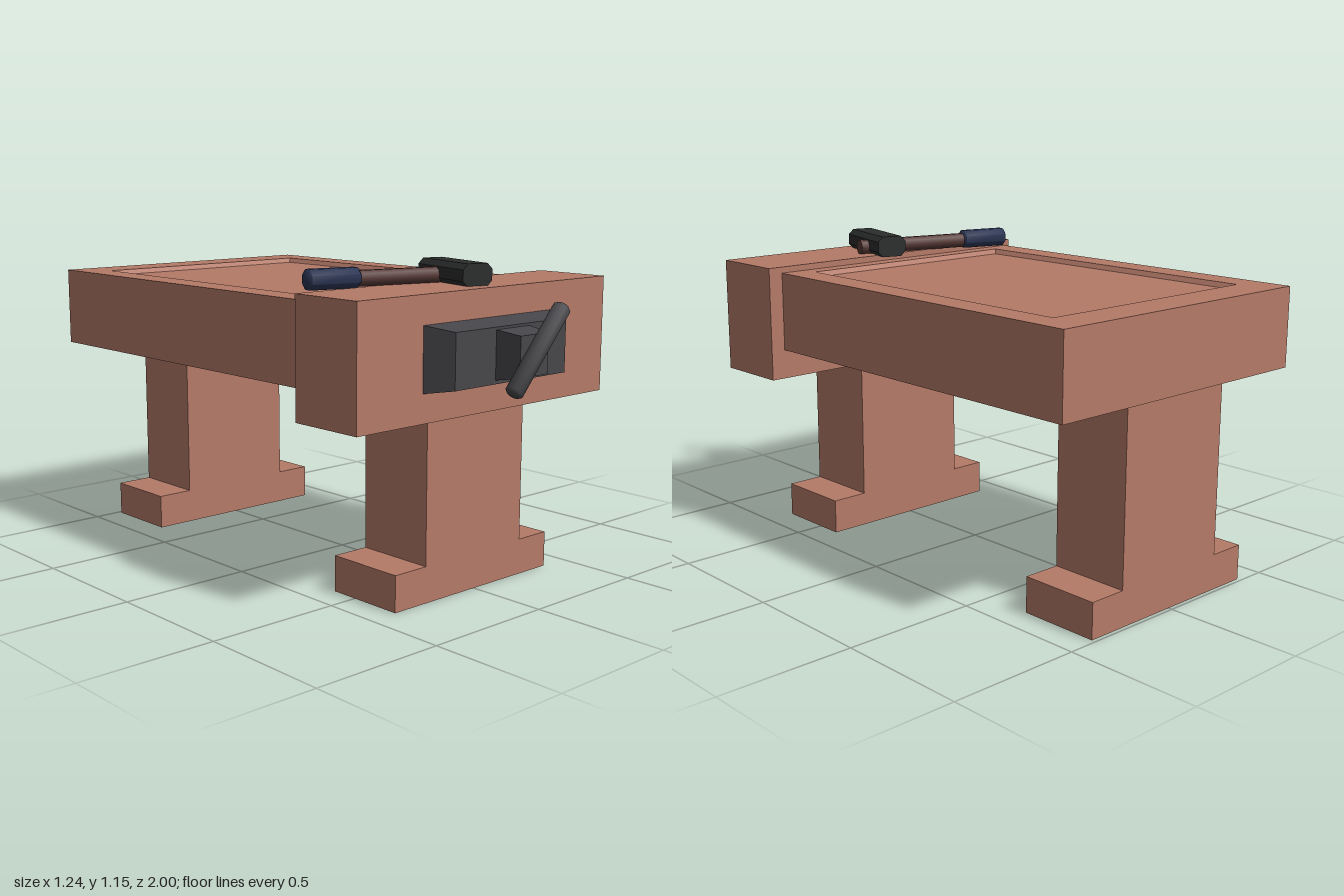
import * as THREE from 'three';
import { toCreasedNormals } from 'three/addons/utils/BufferGeometryUtils.js';

const material = (name, color) => {
  const m = new THREE.MeshStandardMaterial({ color });
  m.name = name;
  return m;
};

// Joins rectangular sections [x0, x1, z0, z1, y] into a closed solid
function loft(sections) {
  const positions = [];
  const rings = sections.map(([x0, x1, z0, z1, y]) =>
    [[x0, y, z1], [x1, y, z1], [x1, y, z0], [x0, y, z0]]);
  const quad = (a, b, c, d) => positions.push(...a, ...b, ...c, ...a, ...c, ...d);
  for (let s = 0; s + 1 < rings.length; s++) {
    const a = rings[s], b = rings[s + 1];
    for (let i = 0; i < 4; i++) {
      const j = (i + 1) % 4;
      quad(a[i], a[j], b[j], b[i]);
    }
  }
  const first = rings[0], last = rings[rings.length - 1];
  quad(first[3], first[2], first[1], first[0]);
  quad(last[0], last[1], last[2], last[3]);
  const geometry = new THREE.BufferGeometry();
  geometry.setAttribute('position', new THREE.Float32BufferAttribute(positions, 3));
  geometry.computeVertexNormals();
  return geometry;
}

// Lathed bar along y with slightly rounded ends
function roundedBar(radius, length, bevel, sides) {
  const h = length / 2;
  const profile = [[0, -h], [radius - bevel, -h], [radius, -h + bevel],
    [radius, h - bevel], [radius - bevel, h], [0, h]];
  const geometry = new THREE.LatheGeometry(profile.map(p => new THREE.Vector2(...p)), sides);
  return toCreasedNormals(geometry, 0.9);
}

export function createModel() {
  const model = new THREE.Group();
  model.name = 'workbench';
  const wood = material('bench wood', 0xb57a68);
  const iron = material('vise iron', 0x47474b);
  const steel = material('hammer head steel', 0x2b2c2c);
  const handleWood = material('handle wood', 0x573a37);
  const gripBlue = material('blue grip', 0x2c3655);

  const add = (parent, name, geometry, mat) => {
    const mesh = new THREE.Mesh(geometry, mat);
    mesh.name = name;
    parent.add(mesh);
    return mesh;
  };

  // Table top with a shallow sunken panel
  add(model, 'tableTop', loft([
    [-0.595, 0.56, -1, 0.47, 0.76],
    [-0.595, 0.56, -1, 0.47, 1.055],
    [-0.485, 0.45, -0.85, 0.4, 1.055],
    [-0.473, 0.438, -0.838, 0.388, 1.037],
  ]), wood);

  // Heavy block across the front
  add(model, 'frontBlock', loft([
    [-0.62, 0.617, 0.46, 0.757, 0.65],
    [-0.62, 0.617, 0.46, 0.757, 1.078],
  ]), wood);

  // Two legs, each an upside-down T
  const outline = [[-0.39, 0], [0.388, 0], [0.388, 0.132], [0.243, 0.132],
    [0.243, 0.765], [-0.245, 0.765], [-0.245, 0.132], [-0.39, 0.132]];
  const legShape = new THREE.Shape(outline.map(p => new THREE.Vector2(...p)));
  for (const [name, z] of [['frontLeg', 0.397], ['backLeg', -0.985]]) {
    const leg = new THREE.ExtrudeGeometry(legShape, { depth: 0.304, bevelEnabled: false });
    add(model, name, leg, wood).position.z = z;
  }

  // Vise: tapered jaw and neck pointing forward, with a slanted turning bar
  const vise = new THREE.Group();
  vise.name = 'vise';
  model.add(vise);
  add(vise, 'viseJaw', loft([
    [-0.33, 0.328, -0.978, -0.75, 0.75],
    [-0.28, 0.278, -0.96, -0.768, 0.857],
  ]).rotateX(Math.PI / 2), iron);
  add(vise, 'viseNeck', loft([
    [-0.086, 0.084, -0.952, -0.78, 0.85],
    [-0.07, 0.07, -0.938, -0.797, 0.95],
  ]).rotateX(Math.PI / 2), iron);
  const bar = add(vise, 'viseBar', roundedBar(0.032, 0.365, 0.01, 12), iron);
  bar.position.set(-0.003, 0.888, 0.968);
  bar.rotation.z = -0.73;

  // Hammer lying on the front block
  const hammer = new THREE.Group();
  hammer.name = 'hammer';
  hammer.position.set(0.04, 1.075, 0.522);
  hammer.rotation.y = -0.25;
  model.add(hammer);

  const w = 0.059, h = 0.08, c = 0.02;
  const headShape = new THREE.Shape([[-w + c, 0], [w - c, 0], [w, c], [w, h - c],
    [w - c, h], [-w + c, h], [-w, h - c], [-w, c]].map(p => new THREE.Vector2(...p)));
  const head = new THREE.ExtrudeGeometry(headShape, { depth: 0.295, bevelEnabled: false });
  add(hammer, 'hammerHead', head, steel).position.z = -0.115;

  const handle = new THREE.CylinderGeometry(0.029, 0.029, 0.53, 10).rotateZ(Math.PI / 2);
  add(hammer, 'hammerHandle', handle, handleWood).position.set(-0.175, 0.03, 0);

  const grip = roundedBar(0.04, 0.193, 0.006, 8).rotateY(Math.PI / 8).rotateZ(Math.PI / 2);
  const gripMesh = add(hammer, 'hammerGrip', grip, gripBlue);
  gripMesh.position.set(-0.467, 0.034, 0);
  gripMesh.scale.y = 0.95;

  return model;
}
